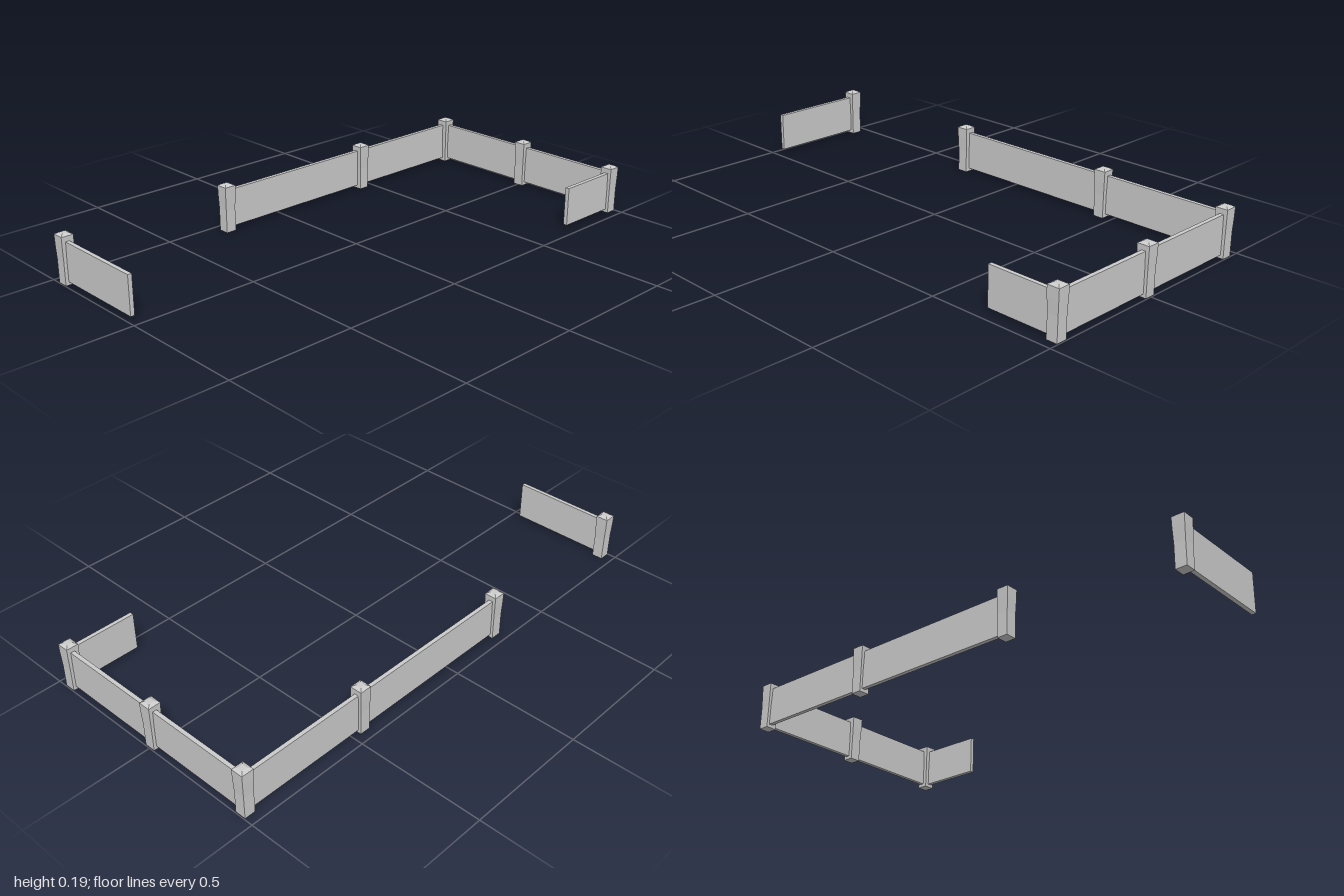
import * as THREE from 'three';

const material = new THREE.MeshStandardMaterial({ color: 0xcccccc, flatShading: true });

// Square post: half-width and height pairs, narrow foot, flared head, low bevelled cap
const postProfile = [
  [0, 0], [0.0215, 0], [0.0215, 0.09], [0.0235, 0.145], [0.0242, 0.185], [0.011, 0.192], [0, 0.192],
].map(([half, y]) => new THREE.Vector2(half * Math.SQRT2, y));

function addPost(group, x, z) {
  const post = new THREE.Mesh(new THREE.LatheGeometry(postProfile, 4, Math.PI / 4), material);
  post.name = 'post';
  post.position.set(x, 0, z);
  group.add(post);
}

// Thin upright panel between two ground points along x or z
function addPanel(group, x0, z0, x1, z1) {
  const thickness = 0.016, bottom = 0.013, top = 0.165;
  const geometry = new THREE.BoxGeometry(
    Math.abs(x1 - x0) || thickness, top - bottom, Math.abs(z1 - z0) || thickness);
  const panel = new THREE.Mesh(geometry, material);
  panel.name = 'wallPanel';
  panel.position.set((x0 + x1) / 2, (bottom + top) / 2, (z0 + z1) / 2);
  group.add(panel);
}

export function createModel() {
  const group = new THREE.Group();
  group.name = 'perimeterWall';

  // Posts along the back and down the left side
  const posts = [
    [-0.976, -0.443], [-0.265, -0.443], [0.447, -0.443],
    [0.975, -0.443], [0.975, 0.001], [0.975, 0.443],
  ];
  posts.forEach(([x, z]) => addPost(group, x, z));

  // Panels: back run, side run, open-ended front stub, detached side stub
  const panels = [
    [-0.265, -0.446, 0.447, -0.446], [0.447, -0.446, 0.975, -0.446],
    [0.977, -0.443, 0.977, 0], [0.977, 0, 0.977, 0.443],
    [0.70, 0.445, 0.975, 0.445],
    [-0.977, -0.443, -0.977, -0.04],
  ];
  panels.forEach((p) => addPanel(group, ...p));

  return group;
}
